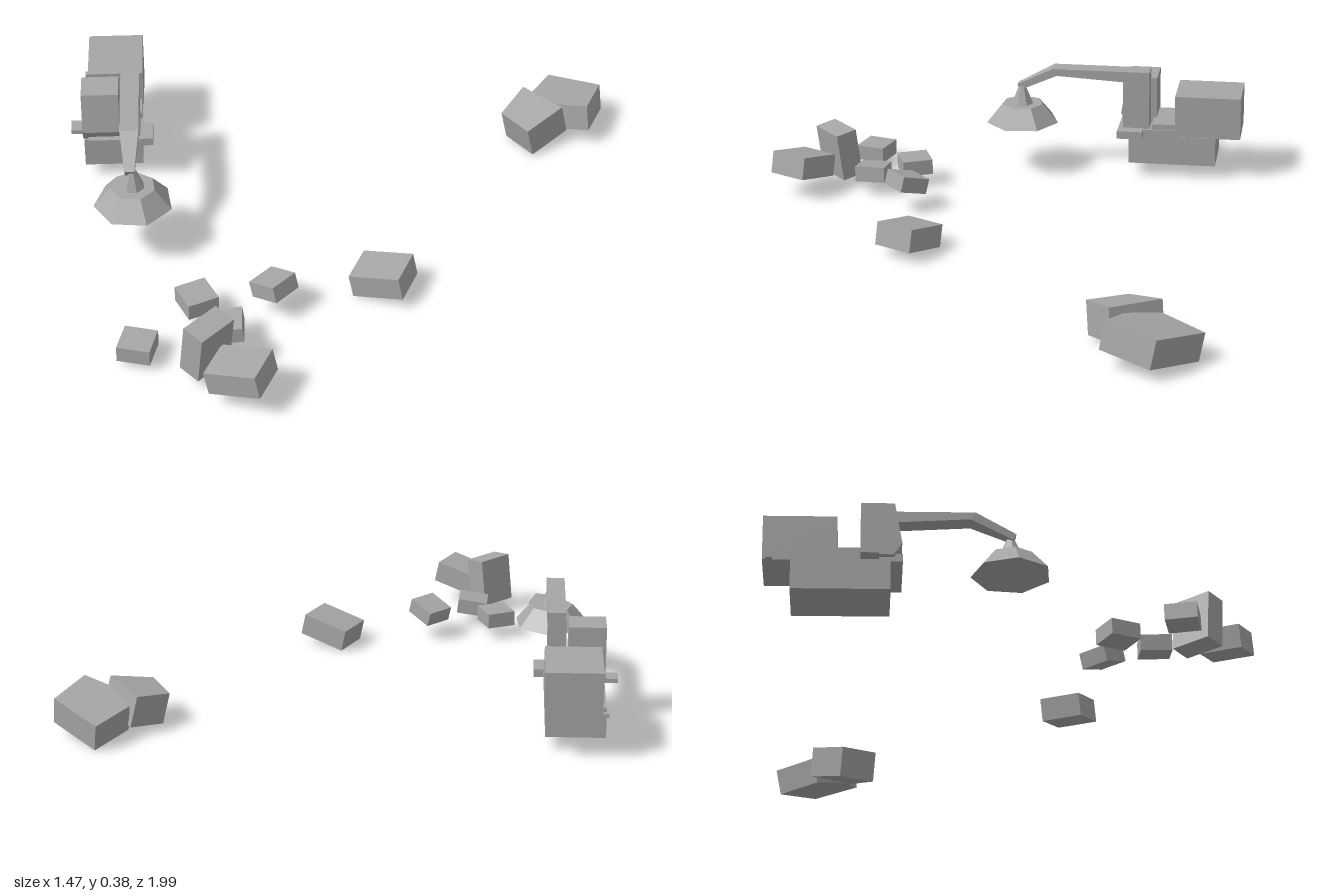
import * as THREE from 'three';

const grey = new THREE.MeshStandardMaterial({ color: 0xa6a6a6, flatShading: true });
grey.name = 'grey';
const rad = THREE.MathUtils.degToRad;

function add(parent, name, geometry, x = 0, y = 0, z = 0) {
  const mesh = new THREE.Mesh(geometry, grey);
  mesh.name = name;
  mesh.position.set(x, y, z);
  parent.add(mesh);
  return mesh;
}

// Box given by its limits
function block(parent, name, x0, x1, y0, y1, z0, z1) {
  return add(parent, name, new THREE.BoxGeometry(x1 - x0, y1 - y0, z1 - z0),
    (x0 + x1) / 2, (y0 + y1) / 2, (z0 + z1) / 2);
}

// Side profile of [z, y] points, extruded from x0 to x1
function profile(points, x0, x1) {
  const shape = new THREE.Shape(points.map(p => new THREE.Vector2(...p)));
  return new THREE.ExtrudeGeometry(shape, { depth: x1 - x0, bevelEnabled: false })
    .rotateY(-Math.PI / 2).translate(x1, 0, 0);
}

function createCrane() {
  const crane = new THREE.Group();
  crane.name = 'magnetCrane';
  block(crane, 'undercarriage', -0.095, 0.095, 0.055, 0.155, -0.15, 0.15);

  // Upper body
  block(crane, 'deck', -0.08, 0.1, 0.155, 0.18, -0.02, 0.187);
  block(crane, 'engineHousing', -0.08, 0.1, 0.158, 0.305, -0.235, -0.01);
  block(crane, 'lowHousing', -0.08, 0.095, 0.17, 0.2, -0.01, 0.07);
  block(crane, 'rightStep', -0.138, -0.07, 0.155, 0.17, 0.06, 0.115);
  block(crane, 'leftStep', 0.08, 0.131, 0.155, 0.182, 0.1, 0.187);
  block(crane, 'exhaust', -0.1, -0.07, 0.155, 0.167, -0.225, -0.205);
  add(crane, 'cab', profile(
    [[0.06, 0.17], [0.16, 0.17], [0.185, 0.21], [0.163, 0.343], [0.06, 0.343]], -0.097, 0.023));

  // Boom, narrowing beyond its bend
  block(crane, 'boomTower', 0.03, 0.09, 0.18, 0.36, 0.08, 0.17);
  const boom = profile([[0.08, 0.345], [0.17, 0.347], [0.4, 0.36], [0.53, 0.298],
    [0.54, 0.318], [0.415, 0.384], [0.08, 0.384]], -0.03, 0.03);
  const p = boom.attributes.position;
  for (let i = 0; i < p.count; i++) if (p.getZ(i) > 0.5) p.setX(i, p.getX(i) * 0.5);
  boom.computeVertexNormals();
  add(crane, 'boom', boom, 0.062);

  crane.position.set(-0.5075, 0, 0.2415);
  crane.rotation.y = Math.PI / 4;
  return crane;
}

// Seven-sided lifting magnet with a vertex towards -x
function createMagnet() {
  const magnet = new THREE.Group();
  magnet.name = 'magnet';
  const frustum = (name, top, bottom, y0, y1) => add(magnet, name,
    new THREE.CylinderGeometry(top, bottom, y1 - y0, 7).rotateY(-Math.PI / 2), 0, (y0 + y1) / 2, 0);
  frustum('magnetDisc', 0.072, 0.126, 0.186, 0.25);
  frustum('magnetNeck', 0.012, 0.038, 0.25, 0.312);
  magnet.position.set(-0.088, 0, 0.562);
  return magnet;
}

export function createModel() {
  const model = new THREE.Group();
  model.name = 'scrapYard';
  model.add(createCrane(), createMagnet());

  const tilt = (mesh, yaw, pitch, roll) =>
    mesh.rotation.set(rad(pitch), rad(yaw), rad(roll), 'YXZ');

  // Loose crates: x, y, z, yaw, roll
  const large = new THREE.BoxGeometry(0.165, 0.075, 0.135);
  const small = new THREE.BoxGeometry(0.102, 0.052, 0.1);
  [[0.625, 0.065, 0.193, 20, 13], [0.63, 0.109, 0.84, 20, 13], [0.49, 0.128, 0.835, 0, 83]]
    .forEach(([x, y, z, yaw, roll]) => tilt(add(model, 'largeCrate', large, x, y, z), yaw, 0, roll));
  [[0.44, 0.107, 0.49, 0, 17], [0.29, 0.08, 0.672, -21, 0],
    [0.287, 0.055, 0.923, 30, 0], [0.44, 0.078, 0.7, 43, 8]]
    .forEach(([x, y, z, yaw, roll]) => tilt(add(model, 'smallCrate', small, x, y, z), yaw, 0, roll));

  // Irregular slabs: footprint of [x, z] points, thickness, centre, pitch, roll
  const slab = (points, h, x, y, z, pitch, roll) => {
    const shape = new THREE.Shape(points.map(([px, pz]) => new THREE.Vector2(px - x, z - pz)));
    const geometry = new THREE.ExtrudeGeometry(shape, { depth: h, bevelEnabled: false })
      .translate(0, 0, -h / 2).rotateX(-Math.PI / 2);
    tilt(add(model, 'scrapBlock', geometry, x, y, z), 0, pitch, roll);
  };
  slab([[0.39, -0.98], [0.59, -0.998], [0.65, -0.84], [0.55, -0.805], [0.425, -0.825]],
    0.09, 0.515, 0.083, -0.9, -3, 12);
  slab([[0.405, -0.82], [0.585, -0.8], [0.555, -0.65], [0.42, -0.68]],
    0.105, 0.495, 0.083, -0.735, 13, 6);
  return model;
}
